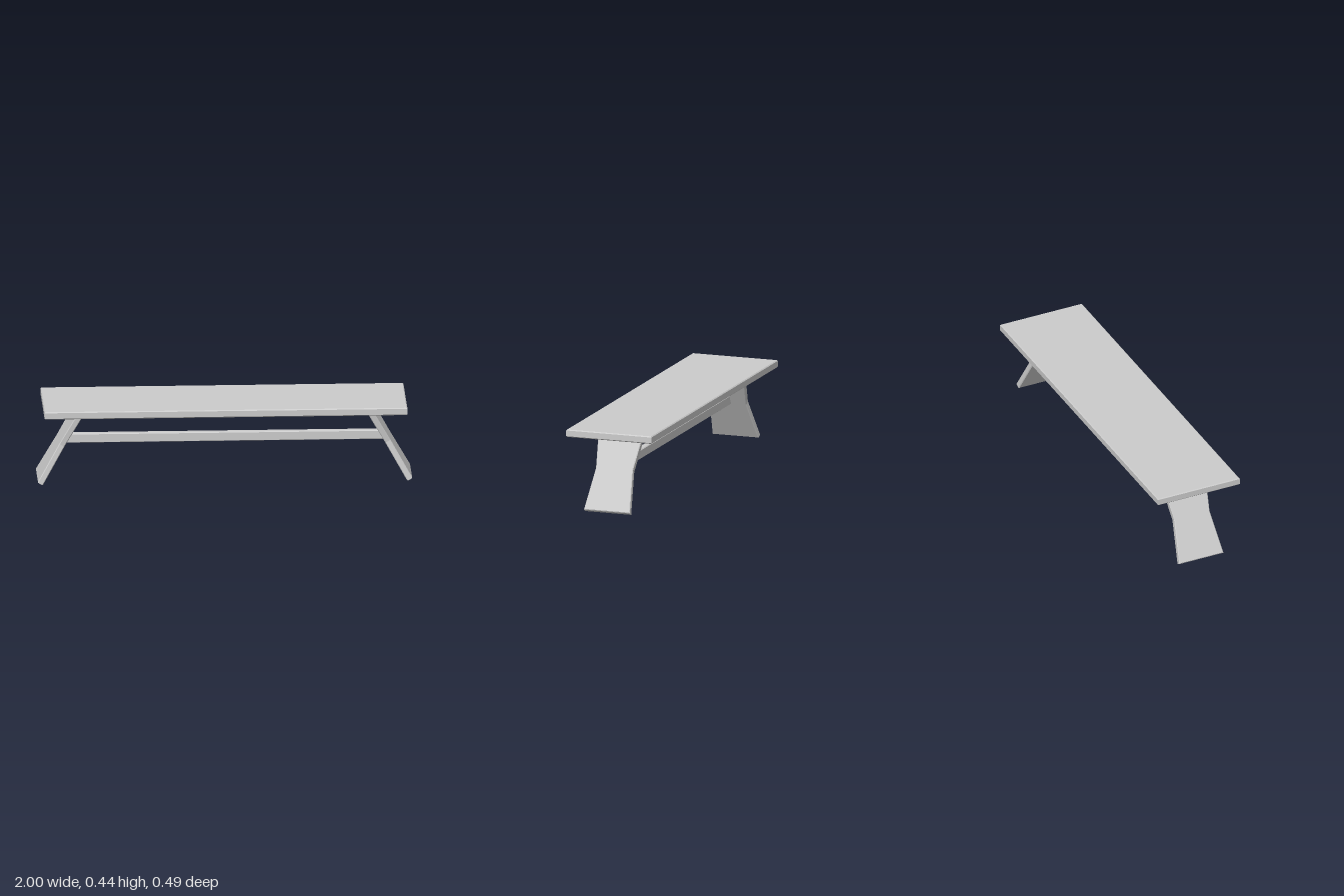
import * as THREE from 'three';

const BEVEL = 0.005;

// Plank with chamfered edges: outline in x/y, thickness centred on z
function plank(points, thickness, bevel = BEVEL) {
  const shape = new THREE.Shape(points.map(([x, y]) => new THREE.Vector2(x, y)));
  const geometry = new THREE.ExtrudeGeometry(shape, {
    depth: thickness - 2 * bevel,
    bevelEnabled: true,
    bevelSegments: 1,
    bevelSize: bevel,
    bevelThickness: bevel,
    bevelOffset: -bevel,
  });
  return geometry.translate(0, 0, -thickness / 2 + bevel);
}

export function createModel() {
  const bench = new THREE.Group();
  bench.name = 'bench';
  const grey = new THREE.MeshStandardMaterial({ color: 0xcccccc });
  grey.name = 'grey';

  const add = (name, geometry) => {
    const mesh = new THREE.Mesh(geometry, grey);
    mesh.name = name;
    bench.add(mesh);
    return mesh;
  };

  // Seat board
  const sx = 0.97, sz = 0.243;
  const seat = plank([[-sx, -sz], [sx, -sz], [sx, sz], [-sx, sz]], 0.041);
  add('seat', seat.rotateX(-Math.PI / 2)).position.y = 0.4155;

  // Splayed plank legs with a narrowed waist, tops set into the seat
  const foot = 0.131, waist = 0.105, length = 0.474;
  const outline = [
    [-foot, 0], [foot, 0], [waist, length / 2],
    [foot, length], [-foot, length], [-waist, length / 2],
  ];
  const splay = THREE.MathUtils.degToRad(29.5);
  for (const side of [1, -1]) {
    const leg = add(side > 0 ? 'leftLeg' : 'rightLeg', plank(outline, 0.032, 0.004).rotateY(Math.PI / 2));
    leg.position.set(side * 0.988, 0.006, 0);
    leg.rotation.z = side * splay;
  }

  // Stretcher between the legs, ends cut to the slope of the legs
  add('stretcher', plank([[-0.872, 0.2], [0.872, 0.2], [0.844, 0.25], [-0.844, 0.25]], 0.036, 0.004));

  return bench;
}
